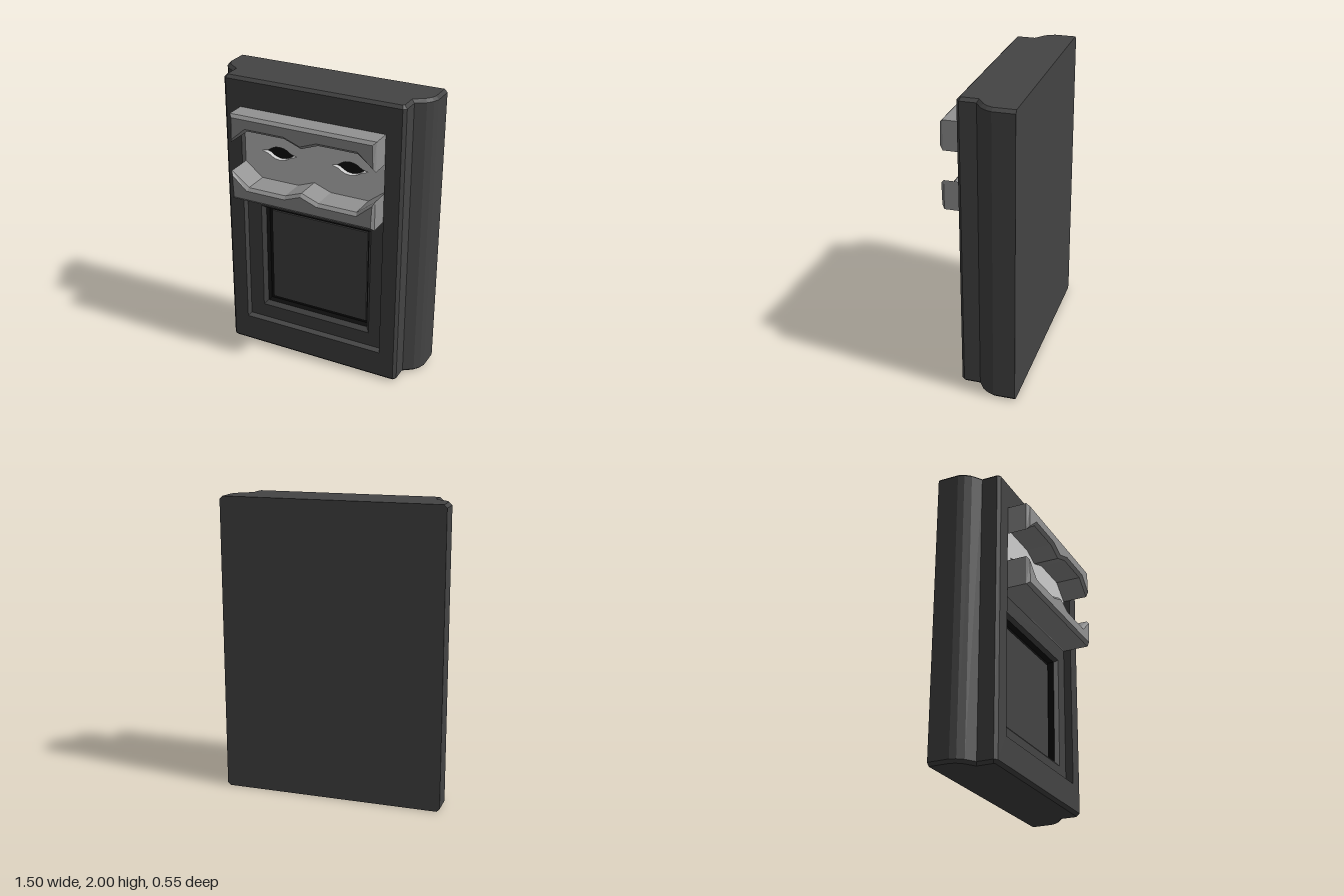
import * as THREE from 'three';

const mat = (color) => new THREE.MeshStandardMaterial({ color, flatShading: true });

// Flat-shaded skin between matching closed rings; skip(level, i) leaves a gap
function loft(rings, skip = () => false, caps = []) {
  const pos = [];
  const tri = (...pts) => pts.forEach((p) => pos.push(...p));
  for (let k = 0; k < rings.length - 1; k++) {
    const n = rings[k].length;
    for (let i = 0; i < n; i++) {
      if (skip(k, i)) continue;
      const j = (i + 1) % n;
      const [a, b, c, d] = [rings[k][i], rings[k][j], rings[k + 1][j], rings[k + 1][i]];
      tri(a, b, c);
      tri(a, c, d);
    }
  }
  caps.forEach(([ring, flip]) => {
    const flat = ring.map((p) => new THREE.Vector2(p[0], -p[2]));
    for (const [a, b, c] of THREE.ShapeUtils.triangulateShape(flat, [])) {
      if (flip) tri(ring[a], ring[c], ring[b]);
      else tri(ring[a], ring[b], ring[c]);
    }
  });
  const g = new THREE.BufferGeometry();
  g.setAttribute('position', new THREE.Float32BufferAttribute(pos, 3));
  g.computeVertexNormals();
  return g;
}

const poly = (pts) => pts.map(([x, y]) => new THREE.Vector2(x, y));
const rect = (w, y0, y1) => [[-w, y0], [w, y0], [w, y1], [-w, y1]];

function shapeWithHoles(outline, holes = []) {
  const s = new THREE.Shape(poly(outline));
  holes.forEach((h) => s.holes.push(new THREE.Path(poly(h))));
  return s;
}

export function createModel() {
  const group = new THREE.Group();
  const dark = mat(0x444444);
  const grey = mat(0x929292);
  const pale = mat(0xcccccc);
  const black = mat(0x0c0c0c);
  const add = (name, geometry, material, z = 0) => {
    const m = new THREE.Mesh(geometry, material);
    m.name = name;
    m.position.z = z;
    group.add(m);
    return m;
  };
  const extrude = (shape, depth) => new THREE.ExtrudeGeometry(shape, { depth, bevelEnabled: false });

  // Body: half profiles (x, z) run from front to back, mirrored, with chamfered ends
  const full = [[0.62, 0.123], [0.64, 0.103], [0.64, -0.007], [0.705, -0.05], [0.735, -0.09], [0.75, -0.13], [0.75, -0.275]];
  const inset = [[0.612, 0.103], [0.62, 0.095], [0.62, -0.017], [0.69, -0.066], [0.717, -0.1], [0.73, -0.135], [0.73, -0.275]];
  const ring = (half, y) => [
    ...half.map(([x, z]) => [x, y, z]),
    ...half.slice().reverse().map(([x, z]) => [-x, y, z]),
  ];
  const rings = [ring(inset, 0), ring(full, 0.02), ring(full, 1.98), ring(inset, 2)];
  const last = rings[0].length - 1;
  add('body', loft(rings, (k, i) => k === 1 && i === last, [[rings[0], true], [rings[3], false]]), dark);

  // Front slab with the tall shallow recess
  const floorZ = 0.07;
  add('frontFrame', extrude(shapeWithHoles(rect(0.62, 0.02, 1.98), [rect(0.515, 0.2, 1.8)]), 0.123 - floorZ), dark, floorZ);

  // Recess floor with the window opening
  add('recessFloor', new THREE.ShapeGeometry(
    shapeWithHoles(rect(0.515, 0.2, 1.25), [rect(0.41, 0.3, 1.085)])), dark, floorZ);

  // Window: sloped sill, black surround and inner panel
  const at = (pts, z) => pts.map(([x, y]) => [x, y, z]);
  const inner = rect(0.385, 0.328, 1.065);
  add('windowSill', loft([at(rect(0.41, 0.3, 1.085), floorZ), at(inner, 0.045)]), dark);
  add('windowSurround', loft([at(inner, 0.045), at(inner, 0)]), black);
  add('windowBack', new THREE.ShapeGeometry(shapeWithHoles(inner)), black);
  add('windowPanel', extrude(shapeWithHoles(rect(0.36, 0.35, 1.035)), 0.012), dark);

  // Face plate with two almond eye slits
  const eye = (cx) => {
    const top = [[-0.13, 0], [-0.085, 0.012], [-0.055, 0.032], [-0.03, 0.042], [0, 0.046],
      [0.03, 0.042], [0.055, 0.032], [0.085, 0.012], [0.13, 0]];
    const bottom = top.slice(1, -1).reverse().map(([x, y]) => [x, -y]);
    return [...top, ...bottom].map(([x, y]) => [cx + x, 1.5 + y]);
  };
  add('facePlate', extrude(shapeWithHoles(rect(0.515, 1.2, 1.8), [eye(-0.255), eye(0.255)]), 0.035), pale, 0.042);
  add('eyeBacking', new THREE.ShapeGeometry(shapeWithHoles(rect(0.45, 1.42, 1.58))), black, 0.044);

  // Brow and cheek bands, mirrored about the eye line
  const half = [[0.515, 0.1], [0.39, 0.198], [0.12, 0.198], [0, 0.153]];
  const edge = [...half, ...half.slice(0, 3).reverse().map(([x, y]) => [-x, y])];
  [['browBand', 1], ['cheekBand', -1]].forEach(([name, s]) => {
    const outline = [...edge, [-0.515, 0.3], [0.515, 0.3]].map(([x, y]) => [x, 1.5 + s * y]);
    const g = new THREE.ExtrudeGeometry(shapeWithHoles(outline), {
      depth: 0.2, bevelEnabled: true, bevelThickness: 0.02, bevelSize: 0.02, bevelOffset: -0.02, bevelSegments: 1,
    });
    add(name, g, grey, 0.055);
  });

  return group;
}
